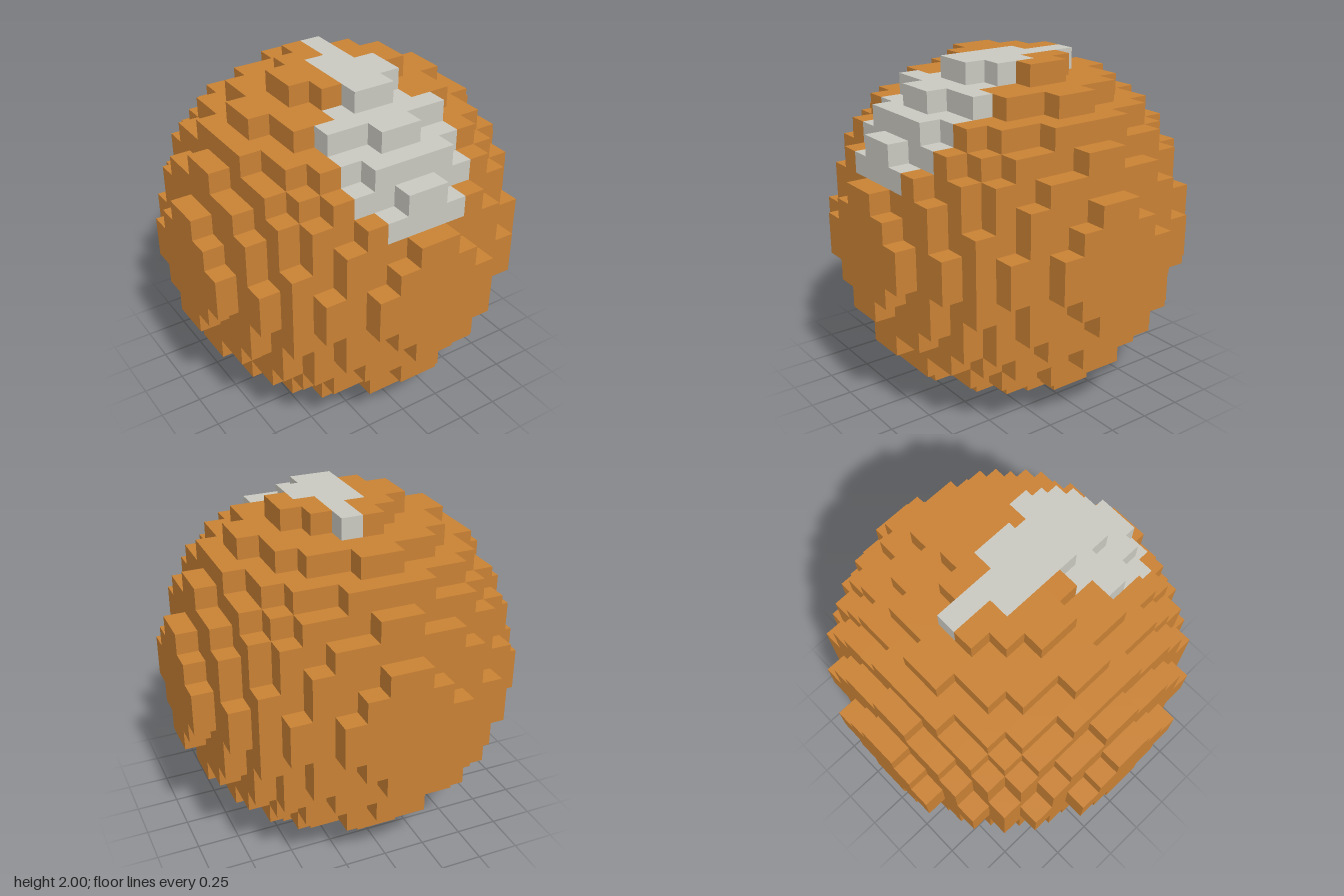
import * as THREE from 'three';
import { mergeGeometries } from 'three/addons/utils/BufferGeometryUtils.js';

const N = 8;        // cells per radius
const CELL = 1 / N; // cell size

// Is the cell inside the blocky sphere?
const solid = (x, y, z) => (x + 0.5) ** 2 + (y + 0.5) ** 2 + (z + 0.5) ** 2 < N * N;

// Pale patch on the upper front: z row -> [first x cell, last x cell]
const patchRows = {
  '-3': [0, 0], '-2': [0, 0], '-1': [-1, 0], 0: [-1, 1], 1: [-1, 1],
  2: [-2, 1], 3: [-3, 2], 4: [-3, 2], 5: [-3, 2], 6: [-2, 1],
};
const inPatch = (x, y, z) => {
  const row = patchRows[z];
  return y >= 3 && row !== undefined && x >= row[0] && x <= row[1];
};

// One unit-cell face for each axis direction, pushed out to the cell wall
const faces = [
  [1, 0, 0], [-1, 0, 0], [0, 1, 0], [0, -1, 0], [0, 0, 1], [0, 0, -1],
].map((dir) => {
  const normal = new THREE.Vector3(...dir);
  const turn = new THREE.Quaternion().setFromUnitVectors(new THREE.Vector3(0, 0, 1), normal);
  if (dir[2] === -1) turn.setFromAxisAngle(new THREE.Vector3(0, 1, 0), Math.PI);
  const plane = new THREE.PlaneGeometry(CELL, CELL).applyQuaternion(turn);
  plane.translate(...dir.map((d) => (d * CELL) / 2));
  return { dir, plane };
});

export function createModel() {
  const orange = new THREE.MeshStandardMaterial({ color: 0xc98134 });
  orange.name = 'orange';
  const paleGrey = new THREE.MeshStandardMaterial({ color: 0xc9c8c0 });
  paleGrey.name = 'paleGrey';

  // Collect the exposed faces of every solid cell
  const shell = [];
  const patch = [];
  for (let x = -N; x < N; x++) {
    for (let y = -N; y < N; y++) {
      for (let z = -N; z < N; z++) {
        if (!solid(x, y, z)) continue;
        const target = inPatch(x, y, z) ? patch : shell;
        for (const { dir, plane } of faces) {
          if (solid(x + dir[0], y + dir[1], z + dir[2])) continue;
          target.push(plane.clone().translate(
            (x + 0.5) * CELL, (y + 0.5) * CELL + 1, (z + 0.5) * CELL));
        }
      }
    }
  }

  const model = new THREE.Group();
  model.name = 'blockBall';
  const add = (name, parts, material) => {
    const mesh = new THREE.Mesh(mergeGeometries(parts), material);
    mesh.name = name;
    model.add(mesh);
  };
  add('ballShell', shell, orange);
  add('palePatch', patch, paleGrey);
  return model;
}
